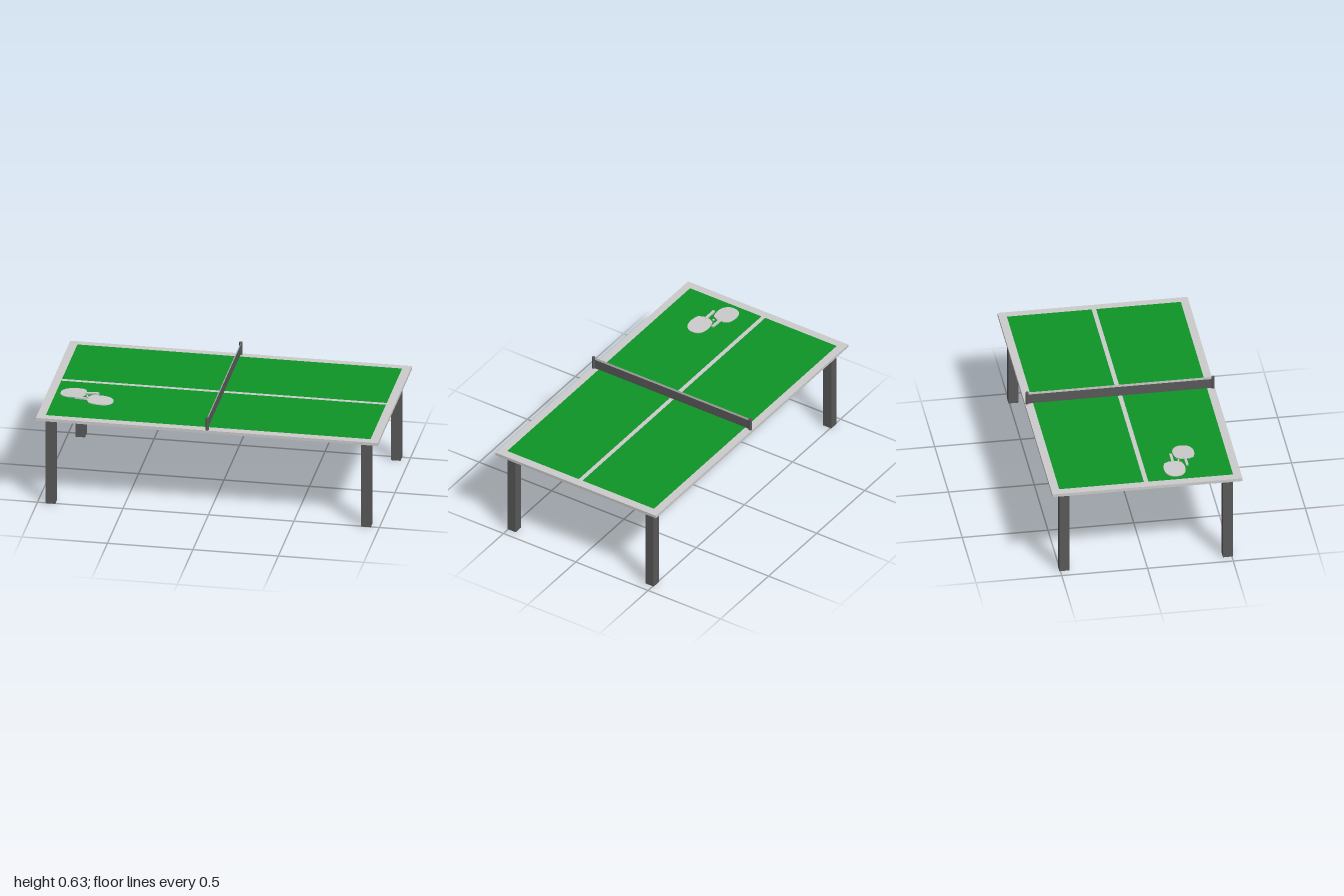
import * as THREE from 'three';

const grey = new THREE.MeshStandardMaterial({ color: 0xcccccc });
const greyThin = new THREE.MeshStandardMaterial({ color: 0xcccccc, side: THREE.DoubleSide });
const dark = new THREE.MeshStandardMaterial({ color: 0x595959 });
const darkThin = new THREE.MeshStandardMaterial({ color: 0x595959, side: THREE.DoubleSide });
const green = new THREE.MeshStandardMaterial({ color: 0x0f9428 });

const TOP = 0.555;    // playing height
const HALF_Z = 0.554; // half the table width

function add(parent, name, geometry, material, x = 0, y = 0, z = 0) {
  const mesh = new THREE.Mesh(geometry, material);
  mesh.name = name;
  mesh.position.set(x, y, z);
  parent.add(mesh);
  return mesh;
}

// Paddle lying flat, blade centred on the origin, handle pointing to +x
function createPaddle(name) {
  const paddle = new THREE.Group();
  paddle.name = name;
  const outline = new THREE.Shape();
  outline.moveTo(0.074, 0.022);
  outline.lineTo(0.06, 0.05);
  outline.bezierCurveTo(0.02, 0.07, -0.077, 0.075, -0.077, 0);
  outline.bezierCurveTo(-0.077, -0.075, 0.02, -0.07, 0.06, -0.05);
  outline.lineTo(0.074, -0.022);
  outline.closePath();
  const blade = new THREE.ExtrudeGeometry(outline, { depth: 0.005, bevelEnabled: false, curveSegments: 16 });
  blade.rotateX(-Math.PI / 2);
  add(paddle, 'paddleBlade', blade, grey);
  add(paddle, 'paddleHandle', new THREE.BoxGeometry(0.085, 0.01, 0.015), grey, 0.107, 0.0025, 0);
  return paddle;
}

export function createModel() {
  const table = new THREE.Group();
  table.name = 'tableTennisTable';

  // Table top with its pale border, and the two green courts
  add(table, 'tableTop', new THREE.BoxGeometry(2, 0.018, HALF_Z * 2), grey, 0, TOP - 0.009, 0);
  for (const s of [-1, 1]) {
    const court = new THREE.PlaneGeometry(1.9, 0.494).rotateX(-Math.PI / 2);
    add(table, s > 0 ? 'frontCourt' : 'backCourt', court, green, 0, TOP + 0.001, s * 0.26);
  }

  // Legs
  for (const sx of [-1, 1]) {
    for (const sz of [-1, 1]) {
      add(table, `${sz > 0 ? 'front' : 'back'}${sx > 0 ? 'Left' : 'Right'}Leg`,
        new THREE.BoxGeometry(0.056, TOP - 0.018, 0.058), dark,
        sx * 0.923, (TOP - 0.018) / 2, sz * 0.477);
    }
  }

  // Net with its pale tape, hung between two round posts
  const net = new THREE.Group();
  net.name = 'net';
  table.add(net);
  const strip = h => new THREE.PlaneGeometry(1.08, h).rotateY(Math.PI / 2);
  add(net, 'netMesh', strip(0.06), darkThin, 0, TOP + 0.03, 0);
  add(net, 'netTape', strip(0.015), greyThin, 0, TOP + 0.0675, 0);
  for (const s of [-1, 1]) {
    add(net, s > 0 ? 'frontPost' : 'backPost',
      new THREE.CylinderGeometry(0.01, 0.01, 0.077, 16), dark, 0, TOP + 0.0375, s * 0.542);
  }

  // Two paddles facing opposite ways, handles slightly raised
  const right = createPaddle('rightPaddle');
  right.position.set(-0.845, TOP + 0.005, 0.183);
  right.rotation.z = 0.045;
  const left = createPaddle('leftPaddle');
  left.position.set(-0.677, TOP + 0.005, 0.26);
  left.rotation.set(0, Math.PI, 0.045);
  table.add(right, left);

  // Ball between the handles
  add(table, 'ball', new THREE.SphereGeometry(0.007, 16, 12), grey, -0.76, TOP + 0.008, 0.219);

  return table;
}
